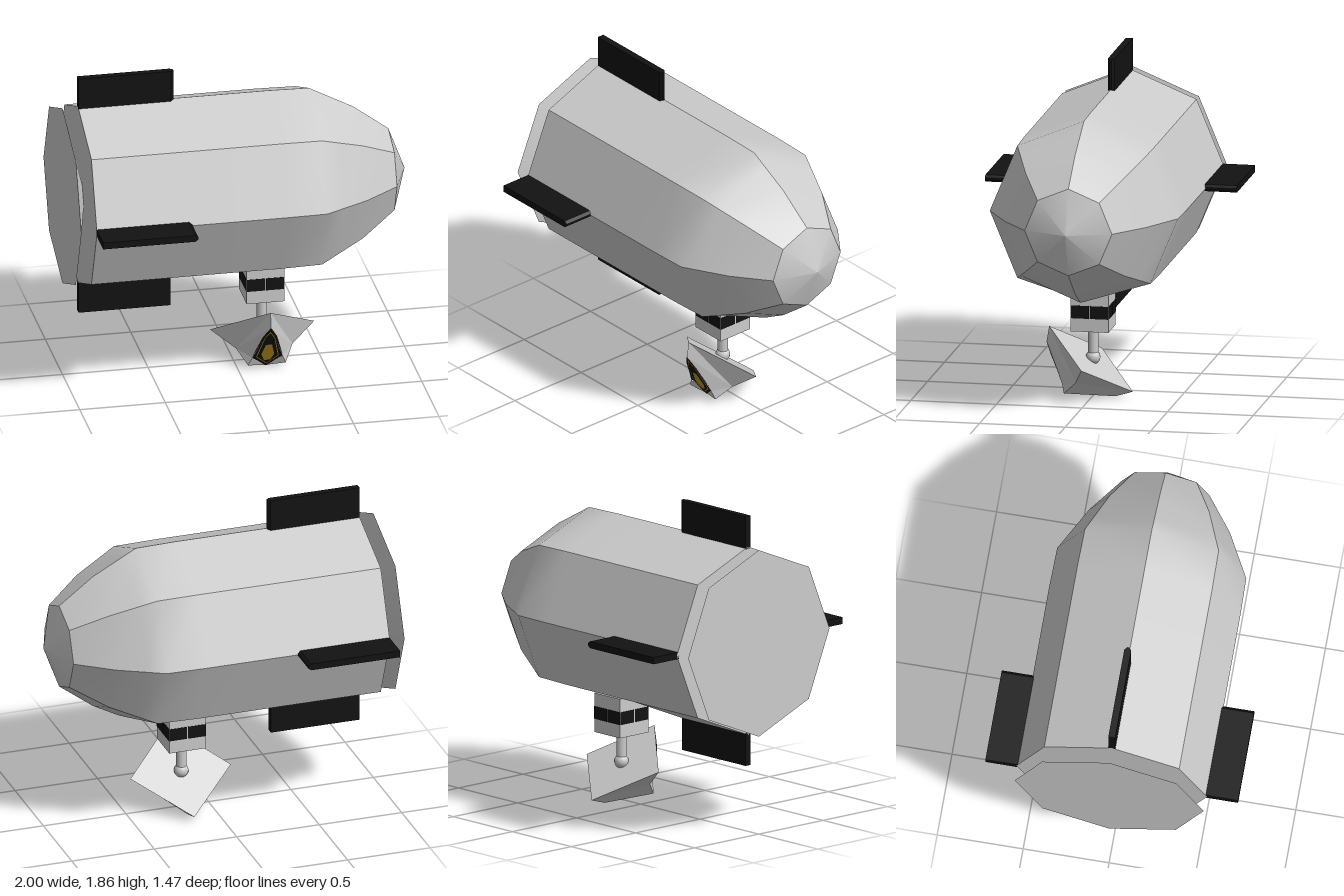
import * as THREE from 'three';
import { toCreasedNormals } from 'three/addons/utils/BufferGeometryUtils.js';

const AXIS_Y = 1.128; // height of the hull's long axis
const POD_X = 0.165;  // centre of everything hanging below the hull

const material = (color, side = THREE.FrontSide, flatShading = false) =>
  new THREE.MeshStandardMaterial({ color, side, flatShading });
const grey = material(0xcccccc);
const greyFlat = material(0xcccccc, THREE.DoubleSide, true);
const black = material(0x121212);
const blackFlat = material(0x121212, THREE.DoubleSide, true);
const gold = material(0xb8901c, THREE.DoubleSide, true);

function add(parent, name, geometry, mat, x = 0, y = 0, z = 0) {
  const mesh = new THREE.Mesh(geometry, mat);
  mesh.name = name;
  mesh.position.set(x, y, z);
  parent.add(mesh);
  return mesh;
}

// Flat polygons, each split into a fan of triangles
function polygons(faces) {
  const pos = [];
  for (const f of faces)
    for (let i = 1; i < f.length - 1; i++) pos.push(...f[0], ...f[i], ...f[i + 1]);
  const g = new THREE.BufferGeometry();
  g.setAttribute('position', new THREE.Float32BufferAttribute(pos, 3));
  g.computeVertexNormals();
  return g;
}

// Eight-sided hull with a flared tail plate; its keel is raised above the cabin
function hullGeometry() {
  const profile = [
    [0, -1], [0.55, -1], [0.17, -0.91], [0.555, -0.91], [0.555, -0.37], [0.555, -0.12],
    [0.555, 0.2], [0.55, 0.44], [0.496, 0.54], [0.41, 0.7], [0.255, 0.905], [0, 1],
  ].map(([r, x]) => new THREE.Vector2(r, x));
  const g = new THREE.LatheGeometry(profile, 8);
  g.rotateZ(-Math.PI / 2);
  const p = g.attributes.position;
  for (let i = 0; i < p.count; i++)
    if (p.getX(i) > -0.2 && p.getY(i) < -0.508) p.setY(i, -0.508);
  return toCreasedNormals(g, 0.52);
}

// Tail fin standing out along z, with a bevelled or blunt leading edge
function finGeometry(bevelled) {
  const t = 0.02;
  const outline = bevelled
    ? [[-0.91, -t], [-0.37, -t], [-0.353, -0.006], [-0.353, 0.006], [-0.37, t], [-0.91, t]]
    : [[-0.91, -t], [-0.372, -t], [-0.372, t], [-0.91, t]];
  const shape = new THREE.Shape(outline.map(([x, y]) => new THREE.Vector2(x, y)));
  const g = new THREE.ExtrudeGeometry(shape, { depth: 0.195, bevelEnabled: false });
  return g.translate(0, 0, 0.54);
}

// Faceted head under the cabin, mirrored about its own centre plane
function buildHead() {
  const head = new THREE.Group();
  head.name = 'hangingHead';
  head.position.x = POD_X;
  const top = [0, 0.4, 0.257], back = [0, 0.035, -0.232], keel = [0, 0.004, -0.13];
  const visorTop = [0, 0.31, 0.272], visorBottom = [0, 0.014, 0.12];
  const half = (s) => {
    const corner = [0.305 * s, 0.215, 0.01], cheek = [0.165 * s, 0.11, 0.07];
    const jaw = [0.11 * s, 0.033, 0.15], visorSide = [0.088 * s, 0.085, 0.165];
    const faces = [
      [top, corner, cheek], [top, cheek, visorTop], [visorTop, cheek, visorSide],
      [cheek, jaw, visorSide], [jaw, visorBottom, visorSide], [jaw, keel, visorBottom],
      [corner, back, cheek], [cheek, back, keel], [cheek, keel, jaw],
    ];
    return s < 0 ? faces : faces.map((f) => [...f].reverse());
  };
  const plate = [top, [0.305, 0.215, 0.01], back, [-0.305, 0.215, 0.01]];
  add(head, 'headShell', polygons([plate, ...half(-1), ...half(1)]), greyFlat);

  // Visor: nested panels on one sloping plane, each a little proud of the last
  const panel = (name, mat, outline, lift) => {
    const at = (s) => ([x, y]) => [x * s, y, 0.124 + (y - 0.014) * 0.5 + lift];
    const right = outline.map(at(1));
    const left = outline.filter(([x]) => x > 0).map(at(-1)).reverse();
    add(head, name, polygons([[...right, ...left].reverse()]), mat);
  };
  panel('visorFrame', blackFlat, [[0, 0.312], [0.04, 0.245], [0.09, 0.085], [0, 0.012]], 0.001);
  panel('visorRim', gold, [[0, 0.282], [0.03, 0.235], [0.067, 0.088], [0, 0.03]], 0.003);
  panel('visorPane', blackFlat, [[0, 0.274], [0.027, 0.232], [0.061, 0.09], [0, 0.036]], 0.004);
  panel('visorCore', gold, [[0, 0.182], [0.018, 0.18], [0.038, 0.105], [0.018, 0.06], [0, 0.06]], 0.006);
  return head;
}

export function createModel() {
  const model = new THREE.Group();
  model.name = 'airship';

  add(model, 'hull', hullGeometry(), grey, 0, AXIS_Y);

  // Four tail fins: front, top, back, bottom
  ['leftFin', 'topFin', 'backFin', 'bottomFin'].forEach((name, i) => {
    const fin = add(model, name, finGeometry(i !== 3), black, 0, AXIS_Y);
    fin.rotation.x = -i * Math.PI / 2;
  });

  // Cabin with a pair of windows on every side
  const cabin = new THREE.Group();
  cabin.name = 'cabin';
  cabin.position.set(POD_X, 0.515, 0);
  add(cabin, 'cabinBox', new THREE.BoxGeometry(0.22, 0.23, 0.22), grey);
  for (let i = 0; i < 4; i++) {
    const side = new THREE.Group();
    side.name = 'windowPair';
    side.rotation.y = i * Math.PI / 2;
    for (const s of [-1, 1])
      add(side, 'window', new THREE.BoxGeometry(0.105, 0.075, 0.004), black, s * 0.0565, 0, 0.11);
    cabin.add(side);
  }
  model.add(cabin);

  // Hanging rod and ball joint
  add(model, 'rod', new THREE.CylinderGeometry(0.03, 0.03, 0.17, 12), grey, POD_X, 0.325, 0);
  add(model, 'ballJoint', new THREE.SphereGeometry(0.042, 16, 12), grey, POD_X, 0.23, 0);

  model.add(buildHead());
  return model;
}
